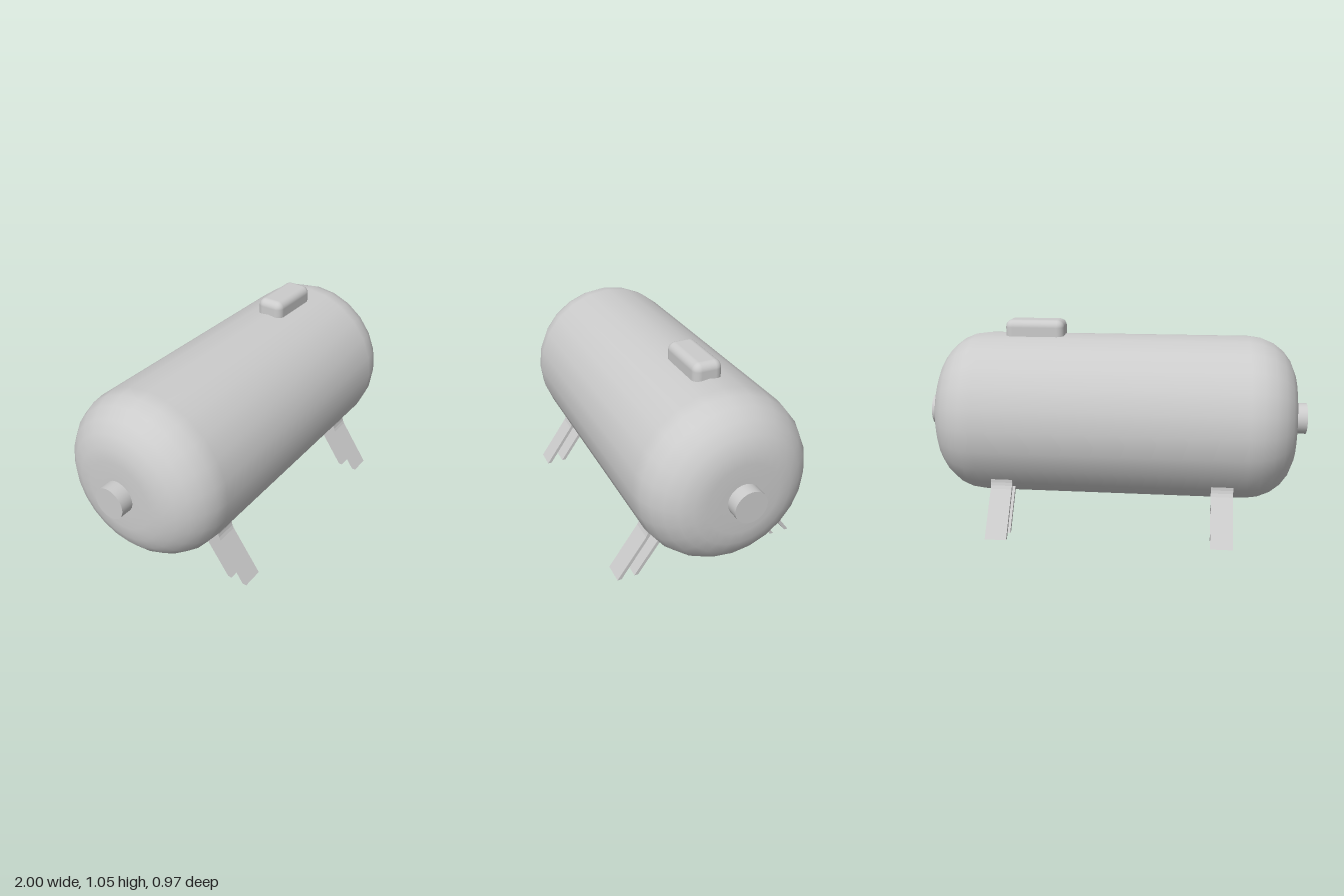
import * as THREE from 'three';
import { RoundedBoxGeometry } from 'three/addons/geometries/RoundedBoxGeometry.js';

const AXIS_Y = 0.545, RADIUS = 0.43;

export function createModel() {
  const model = new THREE.Group();
  const grey = new THREE.MeshStandardMaterial({ color: 0xcccccc });
  const add = (name, geometry) => {
    const mesh = new THREE.Mesh(geometry, grey);
    mesh.name = name;
    model.add(mesh);
    return mesh;
  };

  // Tank body: cylinder with rounded ends and almost flat end faces
  const half = [[0, 0.935], [0.09, 0.935]];
  for (let i = 0; i <= 6; i++) {
    const a = (i / 6) * Math.PI / 2;
    half.push([0.18 + 0.25 * Math.sin(a), 0.685 + 0.25 * Math.cos(a)]);
  }
  const profile = [
    ...half.map(([r, x]) => new THREE.Vector2(r, -x)),
    ...half.slice().reverse().map(([r, x]) => new THREE.Vector2(r, x)),
  ];
  const tank = add('tank', new THREE.LatheGeometry(profile, 24));
  tank.rotation.z = -Math.PI / 2;
  tank.position.y = AXIS_Y;

  // Round port on each end
  for (const side of [-1, 1]) {
    const port = add(side > 0 ? 'leftPort' : 'rightPort', new THREE.CylinderGeometry(0.081, 0.081, 0.09, 32));
    port.rotation.z = -Math.PI / 2;
    port.position.set(side * 0.955, AXIS_Y, 0);
  }

  // Rounded hatch on top, sunk into the tank
  const hatch = add('topHatch', new RoundedBoxGeometry(0.31, 0.16, 0.146, 4, 0.038));
  hatch.position.set(0.425, 0.97, 0);

  // Leg plates, drawn in (z, y) and extruded across x
  const plates = {
    outerLegPlate: [[0.465, 0], [0.486, 0], [0.333, 0.214], [0.325, 0.23], [0.321, 0.245],
      [0.32, 0.262], [0.295, 0.262], [0.3, 0.245], [0.304, 0.228]],
    innerLegPlate: [[0.377, 0], [0.397, 0], [0.232, 0.23], [0.212, 0.23]],
  };
  const width = 0.11;
  for (const [name, points] of Object.entries(plates)) {
    const shape = new THREE.Shape(points.map(([z, y]) => new THREE.Vector2(z, y)));
    const geometry = new THREE.ExtrudeGeometry(shape, { depth: width, bevelEnabled: false });
    geometry.translate(0, 0, -width / 2);
    for (const x of [-0.565, 0.565]) {
      for (const side of [-1, 1]) {
        const plate = add(name, geometry);
        plate.rotation.y = -side * Math.PI / 2;
        plate.position.x = x;
      }
    }
  }
  return model;
}
